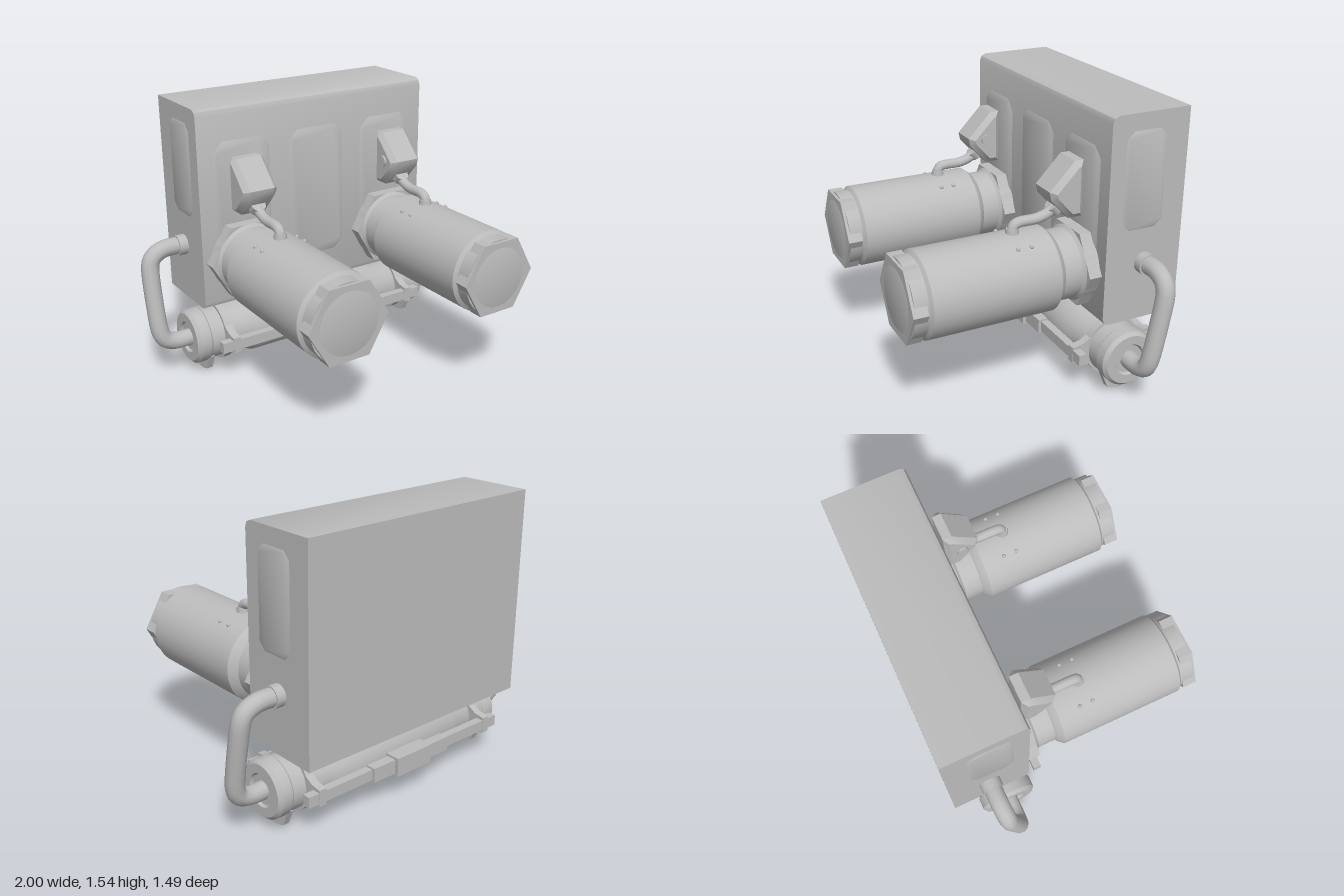
import * as THREE from 'three';
import { toCreasedNormals } from 'three/addons/utils/BufferGeometryUtils.js';

const grey = new THREE.MeshStandardMaterial({ color: 0xbcbcbc });
grey.name = 'plain grey';

function add(parent, name, geometry, x = 0, y = 0, z = 0) {
  const mesh = new THREE.Mesh(geometry, grey);
  mesh.name = name;
  mesh.position.set(x, y, z);
  parent.add(mesh);
  return mesh;
}

const box = (w, h, d) => new THREE.BoxGeometry(w, h, d);

// Surface of revolution around y from [radius, height] pairs
function lathe(points, segments = 32) {
  const g = new THREE.LatheGeometry(points.map(p => new THREE.Vector2(...p)), segments);
  return toCreasedNormals(g, 0.5);
}

function tube(points, radius, tension = 0.3) {
  const path = new THREE.CatmullRomCurve3(points.map(p => new THREE.Vector3(...p)), false, 'catmullrom', tension);
  return new THREE.TubeGeometry(path, 40, radius, 12);
}

// Plate with cut corners and a sloping rim, back face at z = 0
function panel(w, h, cut, height, slope, rimDepth) {
  const a = w / 2, b = h / 2;
  const shape = new THREE.Shape([
    [-a + cut, -b], [a - cut, -b], [a, -b + cut], [a, b - cut],
    [a - cut, b], [-a + cut, b], [-a, b - cut], [-a, -b + cut],
  ].map(p => new THREE.Vector2(...p)));
  const g = new THREE.ExtrudeGeometry(shape, {
    depth: height, bevelEnabled: true, bevelSegments: 2,
    bevelSize: slope, bevelThickness: rimDepth, bevelOffset: -slope,
  });
  return toCreasedNormals(g.translate(0, 0, -rimDepth), 0.6);
}

// Side profile of [z, y] pairs extruded across x, centred on x = 0
function sideExtrude(points, width, bevel = 0) {
  const g = new THREE.ExtrudeGeometry(new THREE.Shape(points.map(p => new THREE.Vector2(...p))), {
    depth: width - 2 * bevel, bevelEnabled: bevel > 0, bevelSegments: 1,
    bevelSize: bevel, bevelThickness: bevel, bevelOffset: -bevel,
  });
  g.translate(0, 0, -width / 2 + bevel).rotateY(-Math.PI / 2);
  return toCreasedNormals(g, 0.6);
}

// Six-sided nut along z with corners pointing to the sides
function hexNut(radius, depth) {
  return new THREE.CylinderGeometry(radius, radius, depth, 6, 1, false, Math.PI / 2)
    .rotateX(Math.PI / 2).toNonIndexed();
}

function buildTank(side) {
  const tank = new THREE.Group();
  tank.name = side > 0 ? 'leftTankUnit' : 'rightTankUnit';
  tank.position.x = 0.475 * side;

  // Horizontal cylinder with a narrow neck and a nut at each end
  add(tank, 'tankBody', lathe([
    [0, -0.29], [0.205, -0.29], [0.205, -0.215], [0.19, -0.2], [0.19, -0.1], [0.205, -0.09],
    [0.23, -0.06], [0.23, 0.635], [0.21, 0.65], [0.21, 0.725], [0, 0.725],
  ], 40).rotateX(Math.PI / 2), 0, 0.69, 0);
  const front = hexNut(0.23, 0.08);
  front.computeVertexNormals();
  add(tank, 'frontNut', front, 0, 0.69, 0.7);
  const rear = hexNut(0.235, 0.07);
  rear.computeVertexNormals();
  add(tank, 'rearNut', rear, 0, 0.69, -0.25);
  add(tank, 'tankEndDisc', lathe([[0.17, 0], [0.16, 0.003], [0, 0.006]]).rotateX(Math.PI / 2), 0, 0.69, 0.739);

  // Four small studs on top of the cylinder
  for (const x of [-0.125, 0.125]) {
    for (const z of [0.065, 0.14]) {
      add(tank, 'stud', new THREE.SphereGeometry(0.012, 8, 6), x, 0.883, z);
    }
  }

  // Valve box and its hose
  add(tank, 'valveBox', sideExtrude([
    [-0.25, 0.975], [-0.17, 0.975], [-0.07, 1.085], [-0.06, 1.13], [-0.2, 1.275], [-0.25, 1.275],
  ], 0.2, 0.028));
  add(tank, 'valveKnob', new THREE.CylinderGeometry(0.032, 0.032, 0.025, 12).rotateZ(Math.PI / 2),
    -0.1 * side, 1.12, -0.16);
  add(tank, 'hoseCollar', new THREE.CylinderGeometry(0.042, 0.042, 0.05, 12).rotateX(0.8), 0, 1.02, -0.13);
  add(tank, 'hose', tube([
    [0, 1.04, -0.15], [0, 0.995, -0.1], [0, 0.972, -0.03], [0, 0.97, 0.07], [0, 0.95, 0.105], [0, 0.9, 0.11],
  ], 0.028, 0.5));
  add(tank, 'hoseFoot', new THREE.CylinderGeometry(0.032, 0.038, 0.04, 12), 0, 0.925, 0.11);

  add(tank, 'mountPanel', panel(0.38, 0.76, 0.07, 0.01, 0.04, 0.05), -0.005 * side, 0.995, -0.29);
  return tank;
}

function buildCanister() {
  const canister = new THREE.Group();
  canister.name = 'lowerCanister';
  canister.position.set(0, 0.205, -0.435);

  // Long cylinder lying across the model
  const half = [[0.172, 0.42], [0.15, 0.47], [0.15, 0.7], [0.158, 0.71], [0.158, 0.77], [0.14, 0.79], [0.09, 0.79], [0.08, 0.775], [0, 0.775]];
  const mirrored = half.map(([r, y]) => [r, -y]).reverse();
  add(canister, 'canisterBody', lathe([...mirrored, ...half], 32).rotateZ(Math.PI / 2));

  for (const s of [-1, 1]) {
    // Clamp band
    add(canister, 'clampBand', lathe([
      [0.145, -0.022], [0.167, -0.022], [0.167, 0.022], [0.145, 0.022],
    ]).rotateZ(Math.PI / 2), 0.6 * s, 0, 0);
    // Curved foot under each end, tapering downwards
    const foot = new THREE.Shape();
    foot.absarc(0, 0, 0.205, -Math.PI / 2 - 0.42, -Math.PI / 2 + 0.42, false);
    foot.lineTo(0.12, -0.1);
    foot.lineTo(-0.12, -0.1);
    const footGeo = new THREE.ExtrudeGeometry(foot, { depth: 0.036, bevelEnabled: false, curveSegments: 8 });
    footGeo.translate(0, 0, -0.018).rotateY(-Math.PI / 2);
    add(canister, 'foot', footGeo, 0.7 * s, 0, 0);
  }

  // Carrying rails in front and behind, with brackets and a thicker grip
  for (const s of [-1, 1]) {
    const rail = new THREE.Group();
    rail.name = s > 0 ? 'frontRail' : 'rearRail';
    rail.rotation.y = s > 0 ? 0 : Math.PI;
    canister.add(rail);
    add(rail, 'railBar', box(1.37, 0.06, 0.045), 0, 0, 0.225);
    add(rail, 'railMiddle', box(0.54, 0.08, 0.055), 0, 0, 0.235);
    add(rail, 'railGrip', box(0.245, 0.105, 0.085), 0, 0, 0.24);
    for (const x of [-0.6, 0.6]) {
      add(rail, 'railBracket', sideExtrude([
        [0.13, -0.09], [0.19, -0.055], [0.25, -0.045], [0.25, 0.045], [0.19, 0.055], [0.13, 0.09],
      ], 0.044), x, 0, 0);
    }
  }
  return canister;
}

export function createModel() {
  const model = new THREE.Group();
  model.name = 'tankPack';

  // Main housing with bevelled front edges
  add(model, 'housing', sideExtrude([
    [-0.74, 0.412], [-0.325, 0.412], [-0.3, 0.425], [-0.29, 0.45],
    [-0.29, 1.5], [-0.3, 1.525], [-0.325, 1.538], [-0.74, 1.538],
  ], 1.46));
  add(model, 'centrePanel', panel(0.39, 0.8, 0.065, 0.01, 0.045, 0.05), 0, 0.975, -0.29);
  model.add(buildCanister());

  for (const s of [-1, 1]) {
    model.add(buildTank(s));
    const sidePanel = add(model, 'sidePanel', panel(0.25, 0.54, 0.045, 0.005, 0.02, 0.022), 0.73 * s, 1.187, -0.495);
    sidePanel.rotation.y = s * Math.PI / 2;

    // Pipe from the housing down to the end of the canister
    add(model, 'pipe', tube([
      [0.72 * s, 0.735, -0.52], [0.85 * s, 0.735, -0.52], [0.925 * s, 0.7, -0.515], [0.95 * s, 0.62, -0.505],
      [0.95 * s, 0.32, -0.45], [0.925 * s, 0.235, -0.438], [0.86 * s, 0.205, -0.435], [0.75 * s, 0.205, -0.435],
    ], 0.049, 0.4));
    add(model, 'pipeCollar', new THREE.CylinderGeometry(0.058, 0.058, 0.06, 16).rotateZ(Math.PI / 2), 0.75 * s, 0.735, -0.52);
  }
  return model;
}
